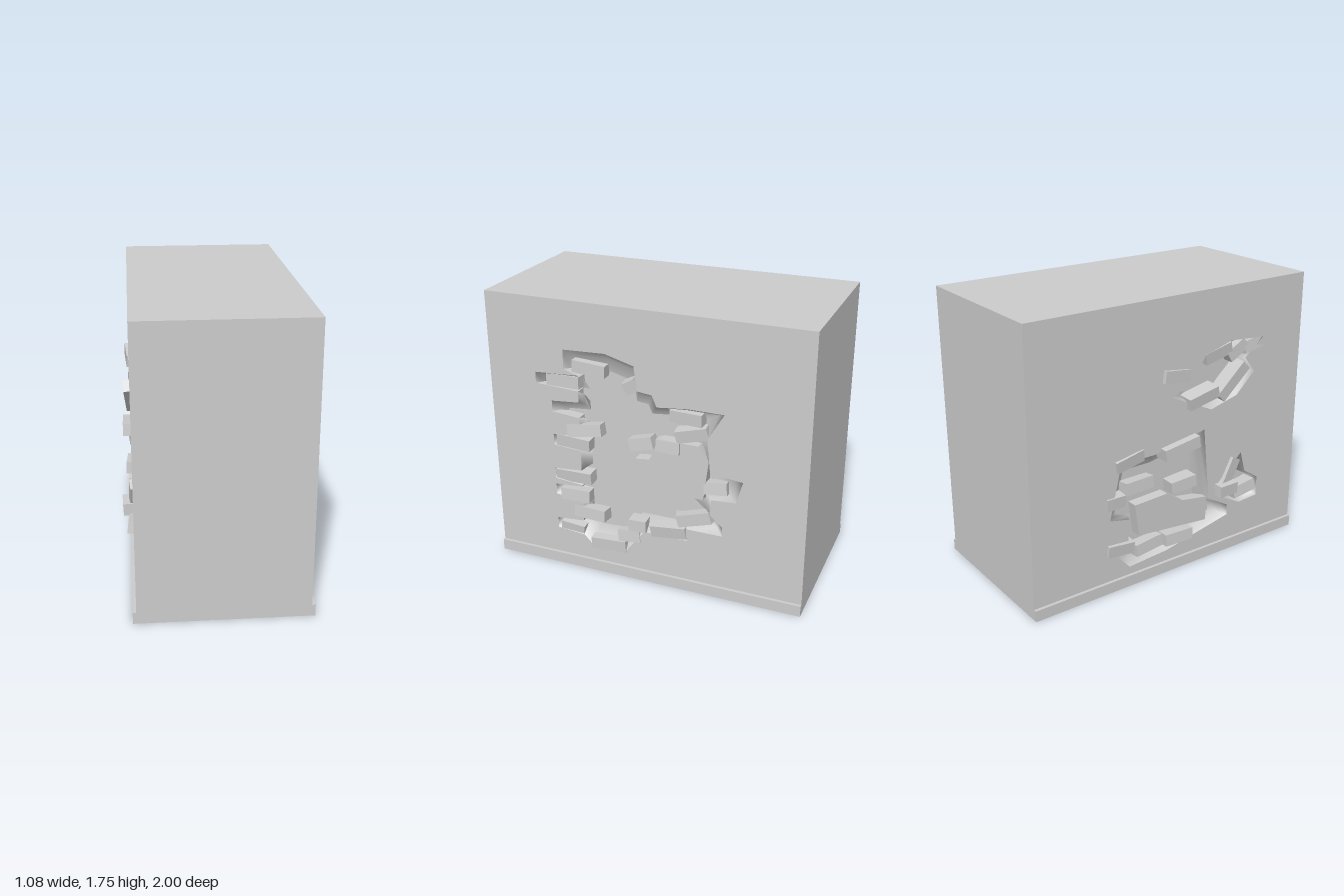
import * as THREE from 'three';

const DEPTH = 0.07; // how deep the plaster has broken away
const HEIGHT = 1.75;
const BRICK = 0.075; // brick height

// Each face is drawn in its own plane: u runs to the right, y up, z outward.
// Left face: one large opening, whose left edge is toothed by the brick courses
const largeHole = [
  [-0.5, 1.33], [-0.5, 1.45], [-0.23, 1.46], [-0.05, 1.41], [-0.03, 1.26], [0.06, 1.25], [0.09, 1.18],
  [0.28, 1.2], [0.5, 1.2], [0.4, 1.03], [0.42, 0.82], [0.62, 0.8], [0.58, 0.66], [0.43, 0.65],
  [0.42, 0.55], [0.5, 0.48], [0.5, 0.42], [0.28, 0.42], [0.28, 0.34], [0, 0.34], [-0.12, 0.18],
  [-0.35, 0.17],
];
for (const y of [0.28, 0.52, 0.63, 0.86, 1.08, 1.25]) {
  const tip = y > 1.2 ? -0.69 : -0.59;
  largeHole.push([-0.41, y - 0.05], [tip, y - 0.035], [tip, y + 0.035], [-0.41, y + 0.05]);
}
const largePatch = [[-0.06, 0.68], [0.19, 0.68], [0.19, 0.64], [0.38, 0.64], [0.41, 0.89], [0.35, 0.98],
  [0.11, 0.98], [0.04, 0.84], [-0.05, 0.83]];
// u, y, length, roll in degrees, distance proud of the wall
const leftBricks = [
  [-0.34, 1.35, 0.21, -4, 0], [-0.08, 1.28, 0.08, 30, 0], [-0.51, 1.25, 0.22, 1, 0],
  [-0.38, 0.95, 0.22, 8, 0.01], [-0.46, 0.86, 0.22, -3, 0], [-0.48, 0.63, 0.27, 2, 0],
  [-0.46, 0.5, 0.19, 0, 0.01], [-0.36, 0.39, 0.21, 0, 0.01], [-0.49, 0.26, 0.16, -6, 0],
  [-0.24, 0.2, 0.23, 3, 0.01], [-0.1, 0.28, 0.15, 9, 0], [-0.04, 0.38, 0.11, 0, 0.02],
  [0.16, 0.38, 0.23, 8, 0.01], [0.32, 0.49, 0.22, 18, 0], [0.45, 0.72, 0.14, 5, 0],
  [0.27, 1.14, 0.2, 0, 0], [0.3, 1.04, 0.2, 15, 0], [-0.01, 0.93, 0.15, 15, 0.01],
  [0.16, 0.94, 0.15, 0, 0.01],
];

// Right face: three smaller openings
const lowHole = [[0.23, 0.88], [0.28, 0.4], [0.44, 0.31], [0.44, 0.24], [-0.05, 0.14], [-0.33, 0.12],
  [-0.47, 0.27], [-0.34, 0.29], [-0.33, 0.44], [-0.47, 0.47], [-0.39, 0.81], [-0.14, 0.81]];
const highHole = [[-0.02, 1.14], [0.14, 1.21], [0.22, 1.35], [0.42, 1.41], [0.68, 1.39], [0.54, 1.28],
  [0.62, 1.18], [0.48, 1.05], [0.28, 1]];
const sideHole = [[0.54, 0.65], [0.58, 0.51], [0.69, 0.44], [0.69, 0.31], [0.54, 0.3], [0.35, 0.4], [0.36, 0.49]];
const lowPatch = [[-0.29, 0.52], [-0.05, 0.53], [0.07, 0.45], [0.26, 0.42], [0.26, 0.26], [-0.26, 0.31]];
const rightBricks = [
  [0.03, 0.82, 0.26, 8, 0.05], [-0.33, 0.82, 0.2, 10, 0.01], [0.06, 0.57, 0.18, 5, 0.03],
  [-0.26, 0.64, 0.2, 0, 0.01], [-0.43, 0.58, 0.13, 0, 0.01], [-0.4, 0.27, 0.18, -5, 0.02],
  [-0.19, 0.22, 0.2, 4, 0.01], [0.04, 0.21, 0.2, 0, 0.02], [0.43, 0.52, 0.24, 62, 0.02],
  [0.4, 0.45, 0.14, 0, 0.06], [0.56, 0.4, 0.17, 10, 0.03], [0, 1.27, 0.19, -8, 0.02],
  [0.33, 1.35, 0.2, 14, 0], [0.48, 1.34, 0.15, 30, 0], [0.61, 1.35, 0.16, 10, 0],
  [0.43, 1.16, 0.26, 45, 0.03], [0.2, 1.1, 0.23, 10, 0.03],
];

const toShape = (pts) => new THREE.Shape(pts.map((p) => new THREE.Vector2(...p)));
const slab = (shape) => new THREE.ExtrudeGeometry(shape, { depth: DEPTH, bevelEnabled: false }).translate(0, 0, -DEPTH);

// Smooth slope from a broken edge down to the cavity floor
function slopeGeometry(outline) {
  const pts = outline.map((p) => new THREE.Vector2(...p));
  if (THREE.ShapeUtils.isClockWise(pts)) pts.reverse();
  const n = pts.length;
  const centre = pts.reduce((c, p) => c.add(p), new THREE.Vector2()).divideScalar(n);
  const positions = [], index = [];
  [[0, 0], [0.07, 0.65], [0.2, 0.98]].forEach(([pull, drop], r) => pts.forEach((p, i) => {
    const q = p.clone().lerp(centre, pull);
    positions.push(q.x, q.y, -DEPTH * drop);
    if (r === 0) return;
    const j = (i + 1) % n, a = (r - 1) * n, b = r * n;
    index.push(a + i, a + j, b + j, a + i, b + j, b + i);
  }));
  const geo = new THREE.BufferGeometry();
  geo.setAttribute('position', new THREE.Float32BufferAttribute(positions, 3));
  geo.setIndex(index);
  geo.computeVertexNormals();
  return geo;
}

export function createModel() {
  const model = new THREE.Group();
  model.name = 'brokenWall';
  const grey = new THREE.MeshStandardMaterial({ color: 0xcccccc, side: THREE.DoubleSide });
  grey.name = 'plasterGrey';
  const add = (parent, geometry, name) => {
    const mesh = new THREE.Mesh(geometry, grey);
    mesh.name = name;
    parent.add(mesh);
    return mesh;
  };

  const addFace = (name, x, turn, holes, patch, bricks) => {
    const side = new THREE.Group();
    side.name = name;
    side.position.x = x;
    side.rotation.y = turn;
    model.add(side);

    // Plaster with broken openings, and the patch left standing
    const skin = toShape([[-1, 0], [1, 0], [1, HEIGHT], [-1, HEIGHT]]);
    skin.holes = holes.map(toShape);
    add(side, slab(skin), 'plasterSkin');
    holes.forEach((hole) => add(side, slopeGeometry(hole), 'cavitySlope'));
    add(side, slab(toShape(patch)), 'plasterPatch');

    // Exposed bricks, each knocked slightly askew
    bricks.forEach(([u, y, length, roll, proud], i) => {
      const brick = add(side, new THREE.BoxGeometry(length, BRICK, 0.1), 'brick');
      brick.position.set(u, y, proud - 0.05);
      brick.rotation.set(0.12 * Math.sin(i * 1.7), 0.06 * Math.sin(i * 2.4), THREE.MathUtils.degToRad(roll), 'ZYX');
    });

    // Skirting board
    add(side, new THREE.BoxGeometry(2, 0.07, 0.02), 'skirting').position.set(0, 0.035, 0.01);
  };

  // Solid core between the two plaster skins
  const left = 0.52, right = -0.477;
  const core = add(model, new THREE.BoxGeometry(left - right - 2 * DEPTH, HEIGHT, 2), 'wallCore');
  core.position.set((left + right) / 2, HEIGHT / 2, 0);

  addFace('leftFace', left, Math.PI / 2, [largeHole], largePatch, leftBricks);
  addFace('rightFace', right, -Math.PI / 2, [lowHole, highHole, sideHole], lowPatch, rightBricks);
  return model;
}
